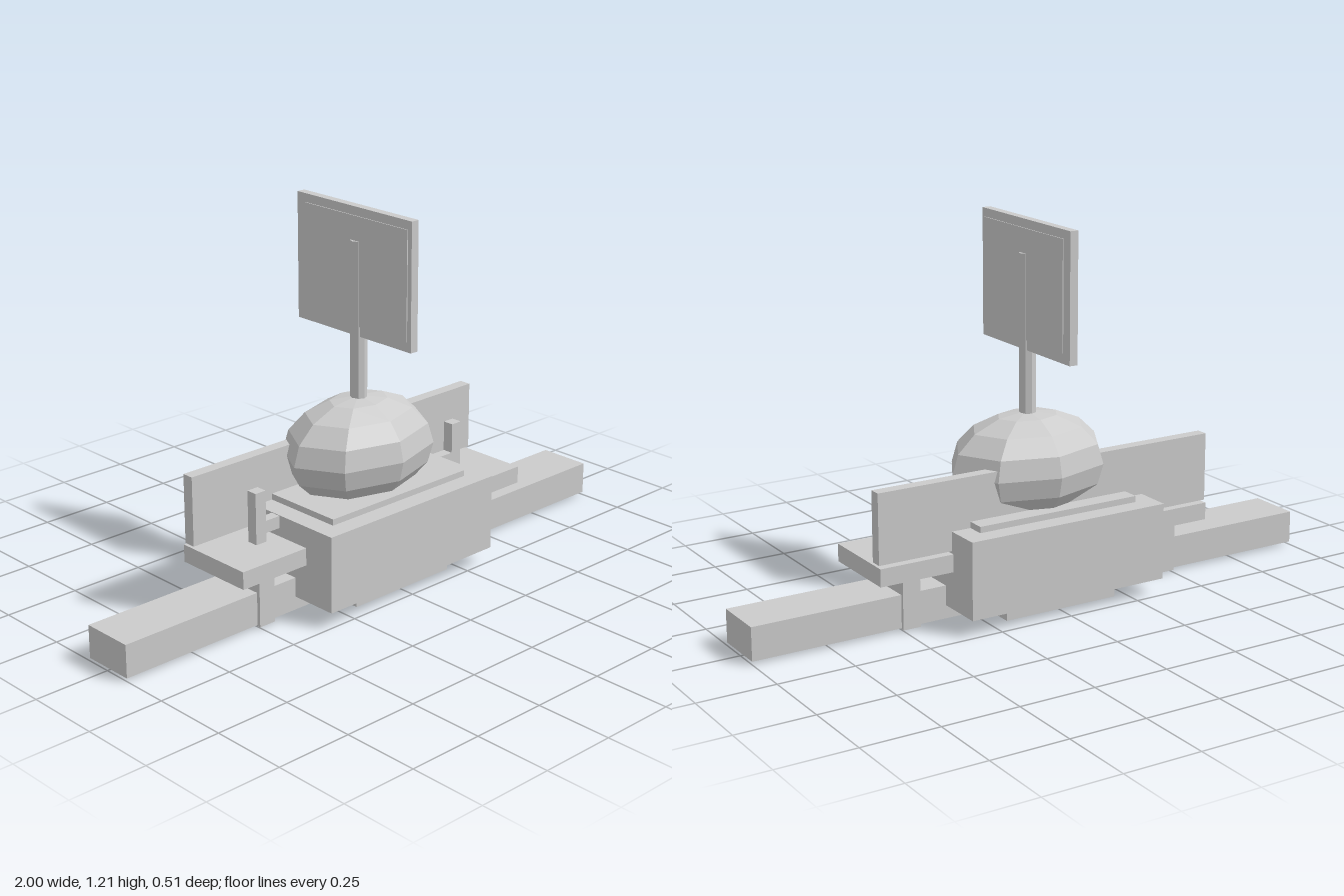
import * as THREE from 'three';

const material = new THREE.MeshStandardMaterial({ color: 0xcccccc, flatShading: true });

export function createModel() {
  const model = new THREE.Group();

  const add = (name, geometry, x, y, z) => {
    const mesh = new THREE.Mesh(geometry, material);
    mesh.name = name;
    mesh.position.set(x, y, z);
    model.add(mesh);
    return mesh;
  };

  // Box given by its extents on each axis
  const box = (name, [x0, x1], [y0, y1], [z0, z1]) =>
    add(name, new THREE.BoxGeometry(x1 - x0, y1 - y0, z1 - z0),
      (x0 + x1) / 2, (y0 + y1) / 2, (z0 + z1) / 2);

  // Base: long beam, central block and its plates
  box('beam', [-1, 1], [0.01, 0.117], [-0.083, 0.093]);
  box('bottomPlate', [-0.2, 0.2], [0.007, 0.06], [-0.194, 0.206]);
  box('centralBlock', [-0.35, 0.35], [0.053, 0.302], [-0.244, 0.255]);
  box('topPlate', [-0.285, 0.285], [0.3, 0.322], [-0.182, 0.193]);
  add('bottomDisc', new THREE.CylinderGeometry(0.05, 0.05, 0.02, 16), 0, 0.01, 0.005);

  // Cross shelf with its upright back panel
  box('shelf', [-0.6, 0.6], [0.175, 0.232], [-0.132, 0.143]);
  box('backPanel', [-0.6, 0.6], [0.24, 0.465], [-0.124, -0.085]);

  // Mirrored supports, posts and the short links to the central block
  for (const side of [-1, 1]) {
    const span = (a, b) => (side > 0 ? [a, b] : [-b, -a]);
    box('support', span(0.445, 0.505), [0.006, 0.178], [-0.094, 0.105]);
    box('post', span(0.405, 0.445), [0.005, 0.4], [-0.013, 0.024]);
    box('postLink', span(0.34, 0.41), [0.26, 0.3], [-0.012, 0.023]);
  }

  // Faceted oval dome
  const dome = add('dome', new THREE.SphereGeometry(1, 8, 8), 0, 0.43, 0.005);
  dome.scale.set(0.272, 0.17, 0.2);

  // Pole carrying the sign
  add('pole', new THREE.CylinderGeometry(0.027, 0.027, 0.52, 8), 0, 0.84, 0.005);

  // Sign board with a slightly raised panel on both faces
  box('signBoard', [-0.014, 0.014], [0.798, 1.206], [-0.254, 0.246]);
  box('signPanel', [-0.017, 0.017], [0.83, 1.178], [-0.218, 0.23]);

  return model;
}
